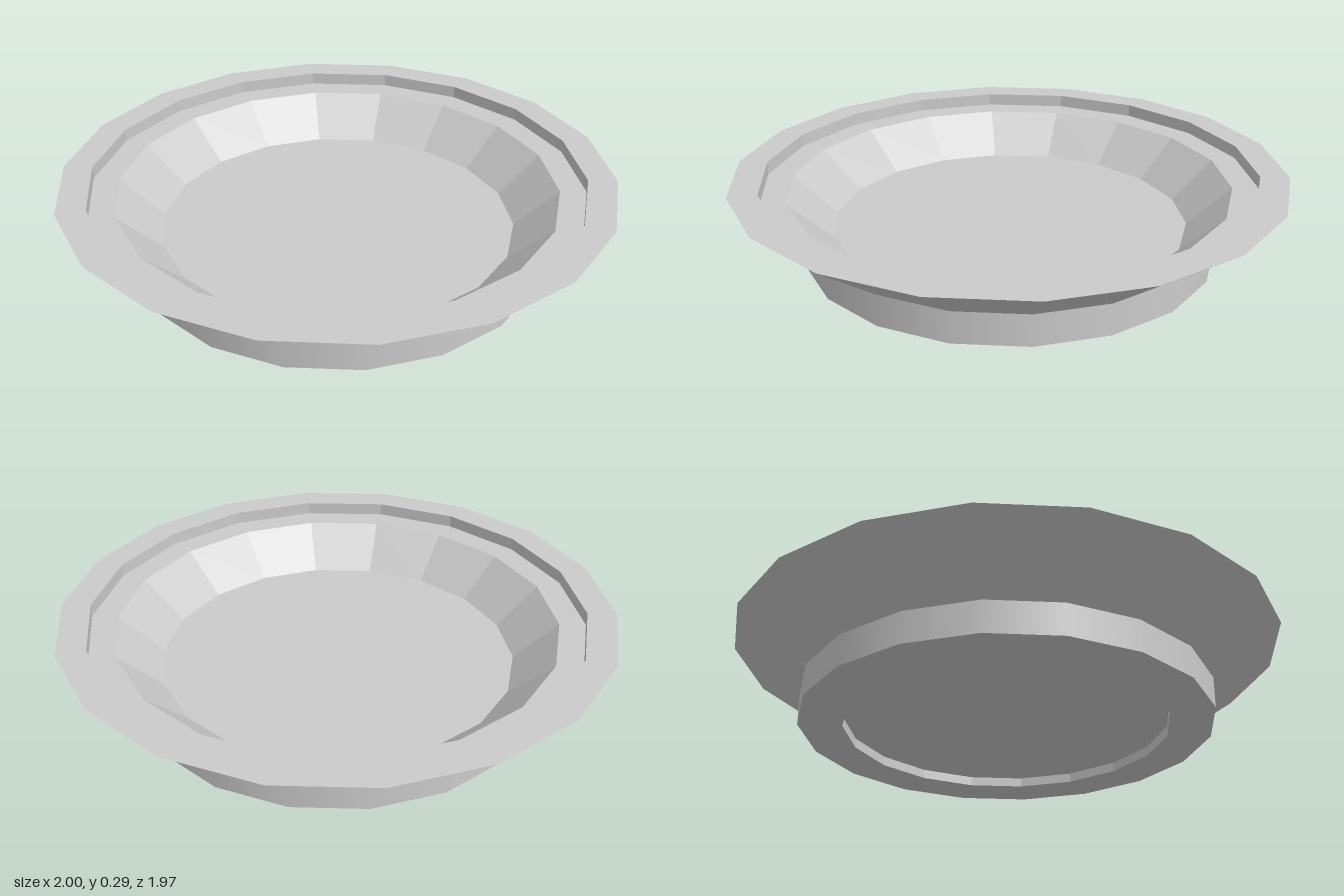
import * as THREE from 'three';

const SIDES = 18;

// Revolve a profile (counter-clockwise in section) with a corner on the +x axis
function ring(name, profile, flatShading) {
  const points = profile.map(([r, y]) => new THREE.Vector2(r, y));
  const geometry = new THREE.LatheGeometry(points, SIDES, Math.PI / 2);
  const material = new THREE.MeshStandardMaterial({ color: 0xcccccc, flatShading });
  const mesh = new THREE.Mesh(geometry, material);
  mesh.name = name;
  return mesh;
}

export function createModel() {
  const dish = new THREE.Group();
  dish.name = 'dish';
  dish.add(
    // Recessed base and the flat ring it stands on
    ring('underside', [[0, 0.035], [0.59, 0.035], [0.59, 0], [0.75, 0]], true),
    // Smooth upright foot
    ring('foot', [[0.75, 0], [0.75, 0.115]], false),
    // Flared outer wall and flat rim
    ring('flaredRim', [[0.75, 0.115], [1, 0.295], [0.895, 0.295]], true),
    // Step and ledge inside the rim
    ring('ledge', [[0.895, 0.295], [0.895, 0.248], [0.8, 0.248]], true),
    // Sloping inner wall and floor
    ring('bowl', [[0.8, 0.248], [0.645, 0.105], [0, 0.105]], true),
  );
  return dish;
}
